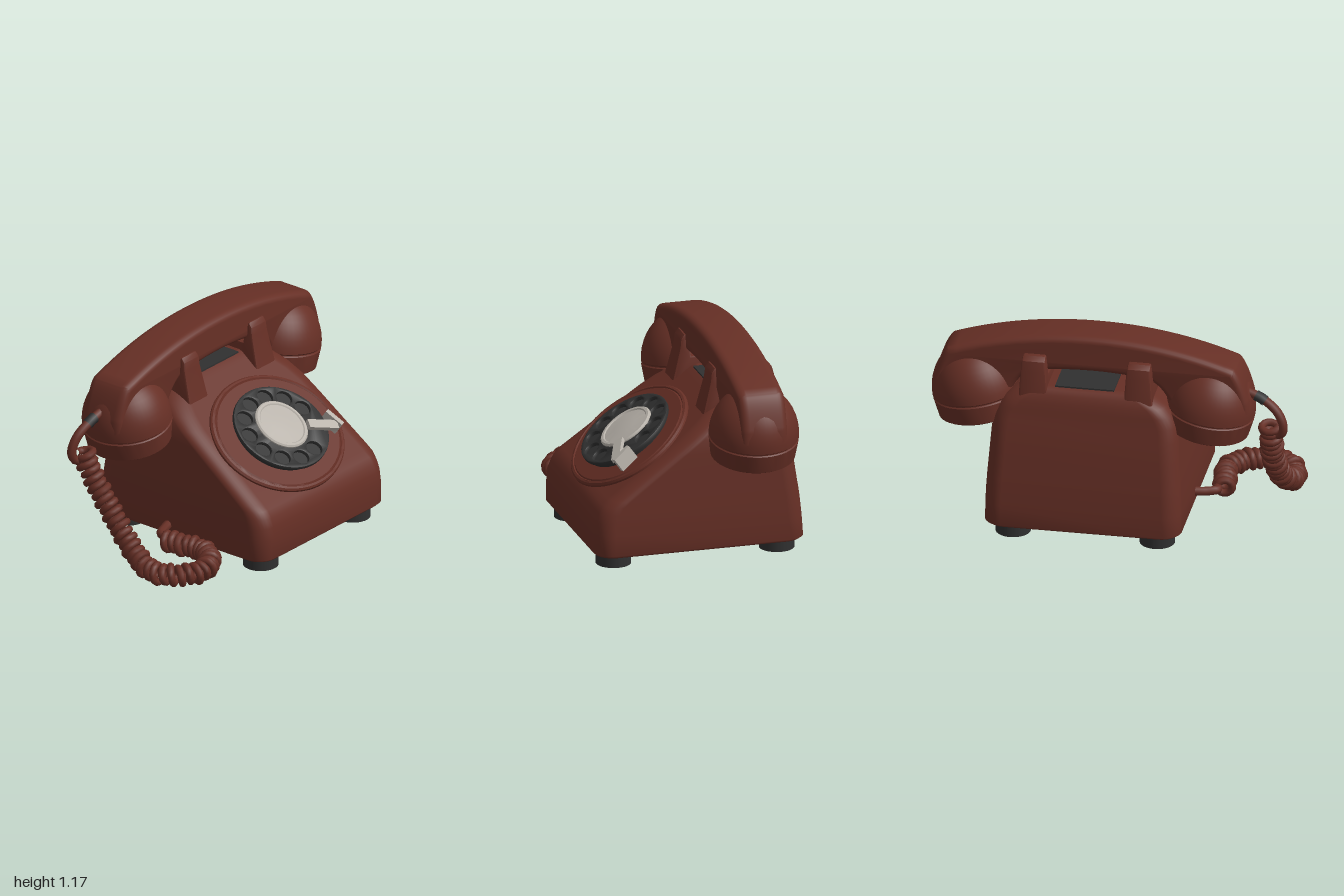
import * as THREE from 'three';
import { toCreasedNormals } from 'three/addons/utils/BufferGeometryUtils.js';

const V = (x, y, z) => new THREE.Vector3(x, y, z);

export function createModel() {
  const model = new THREE.Group();
  const mat = (name, color) => Object.assign(new THREE.MeshStandardMaterial({ color }), { name });
  const brown = mat('brown plastic', 0x662f25);
  const black = mat('black plastic', 0x303030);
  const silver = mat('silver metal', 0xb8b2aa);

  const add = (name, geo, material, parent = model) => {
    const mesh = new THREE.Mesh(geo, material);
    mesh.name = name;
    parent.add(mesh);
    return mesh;
  };
  const lathe = (pts, seg = 48) =>
    toCreasedNormals(new THREE.LatheGeometry(pts.map(p => new THREE.Vector2(...p)), seg), 0.6);

  // Body: rounded rectangles stacked upwards [y, half width, front z, back z]
  const rows = [
    [0.07, 0.535, 0.585, -0.585], [0.085, 0.55, 0.6, -0.6], [0.2, 0.549, 0.6, -0.592],
    [0.27, 0.547, 0.592, -0.585], [0.32, 0.544, 0.575, -0.58], [0.36, 0.542, 0.55, -0.575],
    [0.39, 0.54, 0.512, -0.57], [0.5, 0.532, 0.36, -0.555], [0.62, 0.524, 0.194, -0.535],
    [0.7, 0.515, 0.083, -0.515], [0.76, 0.49, 0, -0.505], [0.81, 0.45, -0.07, -0.495],
    [0.85, 0.39, -0.125, -0.478], [0.875, 0.34, -0.16, -0.46], [0.885, 0.29, -0.185, -0.43],
  ];
  const steps = 8, n = 4 * (steps + 1), pos = [], idx = [];
  const ring = ([y, w, zf, zb]) => {
    const r = 0.1;
    for (let c = 0; c < 4; c++) {
      const cx = c === 0 || c === 3 ? w - r : r - w;
      const cz = c < 2 ? zb + r : zf - r;
      for (let i = 0; i <= steps; i++) {
        const a = (c + i / steps) * Math.PI / 2;
        pos.push(cx + r * Math.cos(a), y, cz - r * Math.sin(a));
      }
    }
  };
  rows.forEach(ring);
  for (let k = 0; k < rows.length - 1; k++) {
    for (let i = 0; i < n; i++) {
      const a = k * n + i, b = k * n + (i + 1) % n;
      idx.push(a, b, a + n, b, b + n, a + n);
    }
  }
  for (const [row, up] of [[rows[0], false], [rows[rows.length - 1], true]]) {
    const s = pos.length / 3;
    ring(row);
    pos.push(0, row[0], (row[2] + row[3]) / 2);
    for (let i = 0; i < n; i++) {
      const a = s + i, b = s + (i + 1) % n;
      idx.push(s + n, up ? a : b, up ? b : a);
    }
  }
  const bodyGeo = new THREE.BufferGeometry();
  bodyGeo.setAttribute('position', new THREE.Float32BufferAttribute(pos, 3));
  bodyGeo.setIndex(idx);
  bodyGeo.computeVertexNormals();
  add('body', bodyGeo, brown).position.x = 0.12;
  add('topPlate', new THREE.BoxGeometry(0.33, 0.009, 0.29), black).position.set(0.125, 0.891, -0.3);

  // Feet
  for (const x of [-0.287, 0.52]) for (const z of [0.47, -0.467]) {
    add('foot', new THREE.CylinderGeometry(0.098, 0.098, 0.085, 32), black).position.set(x, 0.0425, z);
  }

  // Cradle: a U-shaped saddle on each side, with front and rear horns
  const saddle = new THREE.Shape([
    [0.04, 0.74], [0.1, 0.98], [0.106, 1.03], [0.125, 1.056], [0.145, 1.056], [0.165, 0.93],
    [0.375, 0.93], [0.395, 1.056], [0.425, 1.056], [0.455, 1.035], [0.47, 0.98], [0.48, 0.74],
  ].map(p => new THREE.Vector2(...p)));
  const saddleGeo = new THREE.ExtrudeGeometry(saddle, {
    depth: 0.106, bevelThickness: 0.012, bevelSize: 0.012, bevelOffset: -0.012, bevelSegments: 2,
  });
  saddleGeo.translate(0, 0, -0.053).rotateY(Math.PI / 2);
  // Widen the foot of each saddle
  const sp = saddleGeo.attributes.position;
  for (let i = 0; i < sp.count; i++) sp.setX(i, sp.getX(i) * (1 + Math.max(0, 1.04 - sp.getY(i)) * 1.1));
  for (const x of [-0.178, 0.41]) add('cradle', toCreasedNormals(saddleGeo, 0.6), brown).position.x = x;

  // Dial assembly lying on the sloped front
  const dial = new THREE.Group();
  dial.name = 'dial';
  dial.position.set(0.118, 0.578, 0.256);
  dial.rotation.x = 0.625;
  model.add(dial);
  add('bezel', lathe([[0.45, -0.04], [0.45, 0.008], [0.44, 0.018], [0.425, 0.02],
    [0.418, 0.014], [0.41, 0.02], [0, 0.02]], 64), brown, dial).scale.z = 0.84;

  const rotor = new THREE.Group();
  rotor.name = 'rotor';
  rotor.rotation.x = -0.04;
  dial.add(rotor);
  add('dialBase', lathe([[0.28, 0], [0.295, 0.036], [0, 0.036]], 64), black, rotor).scale.z = 0.9;
  const disc = new THREE.Shape().absarc(0, 0, 0.306, 0, Math.PI * 2);
  for (let i = 0; i < 10; i++) {
    const a = (12 + 31 * i) * Math.PI / 180;
    disc.holes.push(new THREE.Path().absarc(0.234 * Math.cos(a), 0.234 * Math.sin(a), 0.05, 0, Math.PI * 2, true));
  }
  const discGeo = new THREE.ExtrudeGeometry(disc, {
    depth: 0.014, curveSegments: 32, bevelThickness: 0.005, bevelSize: 0.005, bevelOffset: -0.005, bevelSegments: 2,
  });
  discGeo.rotateX(-Math.PI / 2).translate(0, 0.044, 0);
  add('fingerWheel', toCreasedNormals(discGeo, 0.6), black, rotor).scale.z = 0.9;
  add('hub', lathe([[0.16, 0.06], [0.16, 0.07], [0.152, 0.078], [0.138, 0.078],
    [0.132, 0.072], [0.07, 0.078], [0, 0.08]]), silver, rotor).position.set(0.008, 0, -0.012);

  // Finger stop: arm with an upturned tab
  const stop = new THREE.Group();
  stop.name = 'fingerStop';
  dial.add(stop);
  const arm = add('stopArm', new THREE.BoxGeometry(0.19, 0.025, 0.055), silver, stop);
  arm.position.set(0.23, 0.09, 0.105);
  arm.rotation.y = -0.45;
  const tab = add('stopTab', new THREE.BoxGeometry(0.028, 0.085, 0.115), silver, stop);
  tab.position.set(0.325, 0.068, 0.105);
  tab.rotation.y = 0.25;

  // Handset
  const handset = new THREE.Group();
  handset.name = 'handset';
  handset.position.set(0.105, 0, -0.265);
  model.add(handset);
  const h = new THREE.Shape();
  h.moveTo(0, 1.175);
  h.quadraticCurveTo(-0.42, 1.175, -0.8, 1.04);
  h.quadraticCurveTo(-0.845, 1.0, -0.885, 0.84);
  h.lineTo(-0.885, 0.77);
  h.lineTo(-0.46, 0.77);
  h.quadraticCurveTo(-0.4, 0.93, -0.3, 0.945);
  h.quadraticCurveTo(0, 0.985, 0.3, 0.945);
  h.quadraticCurveTo(0.4, 0.93, 0.46, 0.77);
  h.lineTo(0.885, 0.77);
  h.lineTo(0.885, 0.84);
  h.quadraticCurveTo(0.845, 1.0, 0.8, 1.04);
  h.quadraticCurveTo(0.42, 1.175, 0, 1.175);
  const handleGeo = new THREE.ExtrudeGeometry(h, {
    depth: 0.17, curveSegments: 16, bevelThickness: 0.047, bevelSize: 0.035, bevelOffset: -0.035, bevelSegments: 5,
  });
  handleGeo.translate(0, 0, -0.085);
  add('handle', toCreasedNormals(handleGeo, 0.7), brown, handset);

  // Ear and mouth cups: cap, seam groove and dome
  const cupProfile = [[0, 0], [0.222, 0], [0.234, 0.008], [0.249, 0.112], [0.243, 0.118], [0.243, 0.123], [0.25, 0.13]];
  for (let i = 1; i <= 12; i++) {
    const a = i / 12 * Math.PI / 2;
    cupProfile.push([i === 12 ? 0 : 0.25 * Math.cos(a), 0.13 + 0.28 * Math.sin(a)]);
  }
  for (const [name, s] of [['mouthCup', -1], ['earCup', 1]]) {
    const cup = add(name, lathe(cupProfile), brown, handset);
    cup.position.set(s * 0.632, 0.63, 0);
    cup.rotation.z = -s * 0.166;
  }

  // Cord: smooth lead, sleeve, coil and tail
  const tube = (name, pts, seg, r, material) =>
    add(name, new THREE.TubeGeometry(new THREE.CatmullRomCurve3(pts), seg, r, 8), material);
  tube('cordLead', [V(-0.74, 0.88, -0.28), V(-0.84, 0.843, -0.29), V(-0.93, 0.775, -0.31),
    V(-0.965, 0.69, -0.32), V(-0.945, 0.64, -0.31), V(-0.89, 0.64, -0.28)], 32, 0.026, brown);
  tube('cordSleeve', [V(-0.805, 0.858, -0.286), V(-0.835, 0.845, -0.29), V(-0.86, 0.83, -0.294)], 6, 0.031, black);
  const path = new THREE.CatmullRomCurve3([
    V(-0.89, 0.69, -0.3), V(-0.885, 0.55, -0.24), V(-0.88, 0.38, -0.12), V(-0.9, 0.2, 0.05),
    V(-0.93, 0.12, 0.2), V(-0.9, 0.115, 0.34), V(-0.77, 0.115, 0.43), V(-0.62, 0.115, 0.38),
    V(-0.545, 0.115, 0.26), V(-0.56, 0.115, 0.12), V(-0.57, 0.115, 0.02)]);
  const turns = 37, count = turns * 10, frames = path.computeFrenetFrames(count), coil = [];
  for (let i = 0; i <= count; i++) {
    const a = i / 10 * Math.PI * 2;
    const r = 0.045 + 0.005 * Math.sin(i * 0.37);
    coil.push(path.getPointAt(i / count)
      .addScaledVector(frames.normals[i], r * Math.cos(a))
      .addScaledVector(frames.binormals[i], r * Math.sin(a)));
  }
  tube('cordCoil', coil, turns * 14, 0.021, brown);
  tube('cordTail', [coil[count], V(-0.54, 0.125, -0.03), V(-0.48, 0.125, -0.06), V(-0.4, 0.13, -0.08)], 16, 0.026, brown);

  return model;
}
